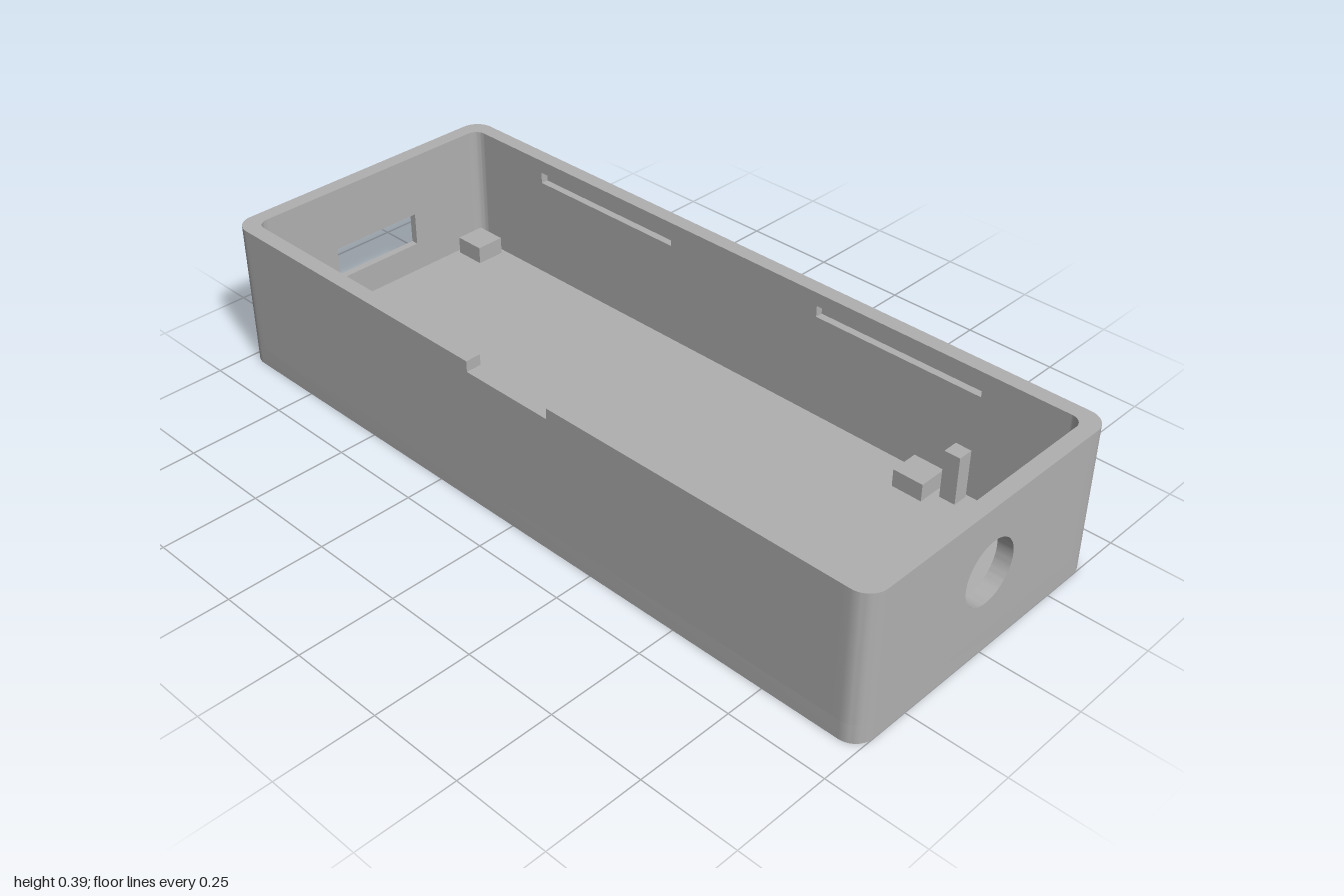
import * as THREE from 'three';
import { toCreasedNormals } from 'three/addons/utils/BufferGeometryUtils.js';

const H = 0.388, FLOOR = 0.05, WALL = 0.04;
const HX = 1, HZ = 0.4;            // outer half sizes
const R_OUT = 0.05, R_IN = 0.03;   // corner radii
const CX = HX - WALL - R_IN, CZ = HZ - WALL - R_IN; // where straight walls end

const polygon = (pts) => new THREE.Shape(pts.map(([x, y]) => new THREE.Vector2(x, y)));
const rect = (x0, y0, x1, y1) => polygon([[x0, y0], [x1, y0], [x1, y1], [x0, y1]]);

function arc(cx, cy, r, a0, a1, steps = 10) {
  return Array.from({ length: steps + 1 }, (_, i) => {
    const a = a0 + (a1 - a0) * i / steps;
    return [cx + r * Math.cos(a), cy + r * Math.sin(a)];
  });
}

function extrude(shape, depth) {
  const geo = new THREE.ExtrudeGeometry(shape, { depth, bevelEnabled: false, curveSegments: 32 });
  return toCreasedNormals(geo, 0.6);
}

export function createModel() {
  const model = new THREE.Group();
  model.name = 'openEnclosure';
  const grey = new THREE.MeshStandardMaterial({ color: 0xb0b0b0 });
  grey.name = 'grey plastic';

  function add(name, geo) {
    const mesh = new THREE.Mesh(geo, grey);
    mesh.name = name;
    model.add(mesh);
    return mesh;
  }
  // Plan outline (x, z) raised from y0 to y1
  const addPlan = (name, shape, y0, y1) =>
    add(name, extrude(shape, y1 - y0).rotateX(Math.PI / 2).translate(0, y1, 0));
  // Front-facing outline (x, y) between two z depths
  const addSide = (name, shape, z0, z1) =>
    add(name, extrude(shape, z1 - z0).translate(0, 0, z0));
  // End outline (z, y) between two x depths
  const addEnd = (name, shape, x0, x1) =>
    add(name, extrude(shape, x1 - x0).rotateY(Math.PI / 2).translate(x0, 0, 0));

  // Floor slab with rounded corners
  const q = Math.PI / 2, ox = HX - R_OUT, oz = HZ - R_OUT;
  addPlan('floor', polygon([
    ...arc(ox, oz, R_OUT, 0, q), ...arc(-ox, oz, R_OUT, q, 2 * q),
    ...arc(-ox, -oz, R_OUT, 2 * q, 3 * q), ...arc(ox, -oz, R_OUT, 3 * q, 4 * q),
  ]), 0, FLOOR);

  // Rounded wall corners
  const corner = [[HX, CZ], ...arc(ox, oz, R_OUT, 0, q), [CX, HZ], ...arc(CX, CZ, R_IN, q, 0)];
  for (const sx of [-1, 1]) for (const sz of [-1, 1]) {
    addPlan('wallCorner', polygon(corner.map(([x, z]) => [x * sx, z * sz])), FLOOR, H);
  }

  // Long walls: plain outer skin, inner skin with two blind snap slots
  const SKIN = 0.02;
  const backOutline = () => rect(-CX, FLOOR, CX, H);
  const frontOutline = () => polygon([[-CX, FLOOR], [CX, FLOOR], [CX, H], [0.125, H],
    [0.125, 0.36], [-0.13, 0.36], [-0.13, H], [-CX, H]]); // opening notch in the rim
  for (const [name, outline, s] of [['frontWall', frontOutline, 1], ['backWall', backOutline, -1]]) {
    const inner = outline();
    for (const x of [-0.705, 0.235]) inner.holes.push(rect(x, 0.323, x + 0.47, 0.353));
    const range = (a, b) => (s > 0 ? [a, b] : [-b, -a]);
    addSide(name + 'Outer', outline(), ...range(HZ - SKIN, HZ));
    addSide(name + 'Inner', inner, ...range(HZ - WALL, HZ - SKIN));
  }

  // Left end wall with a round cable hole
  const leftWall = rect(-CZ, FLOOR, CZ, H);
  leftWall.holes.push(new THREE.Path().absarc(0, 0.215, 0.081, 0, Math.PI * 2));
  addEnd('leftWall', leftWall, HX - WALL, HX);

  // Right end wall with a port opening set in a larger recess
  const recess = rect(-CZ, FLOOR, CZ, H);
  recess.holes.push(rect(-0.16, 0.1, 0.16, 0.255));
  addEnd('rightWallRecess', recess, -HX, -HX + SKIN);
  const port = rect(-CZ, FLOOR, CZ, H);
  port.holes.push(rect(-0.13, 0.13, 0.13, 0.22));
  addEnd('rightWallPort', port, -HX + SKIN, -HX + WALL);

  // Board supports and taller locating pins
  for (const s of [-1, 1]) {
    for (const x of [-0.907, 0.599]) {
      add('boardSupport', new THREE.BoxGeometry(0.083, 0.047, 0.079)).position.set(x, FLOOR + 0.0235, s * 0.307);
    }
    add('locatingPin', new THREE.BoxGeometry(0.043, 0.13, 0.042)).position.set(0.681, FLOOR + 0.065, s * 0.332);
  }
  return model;
}
